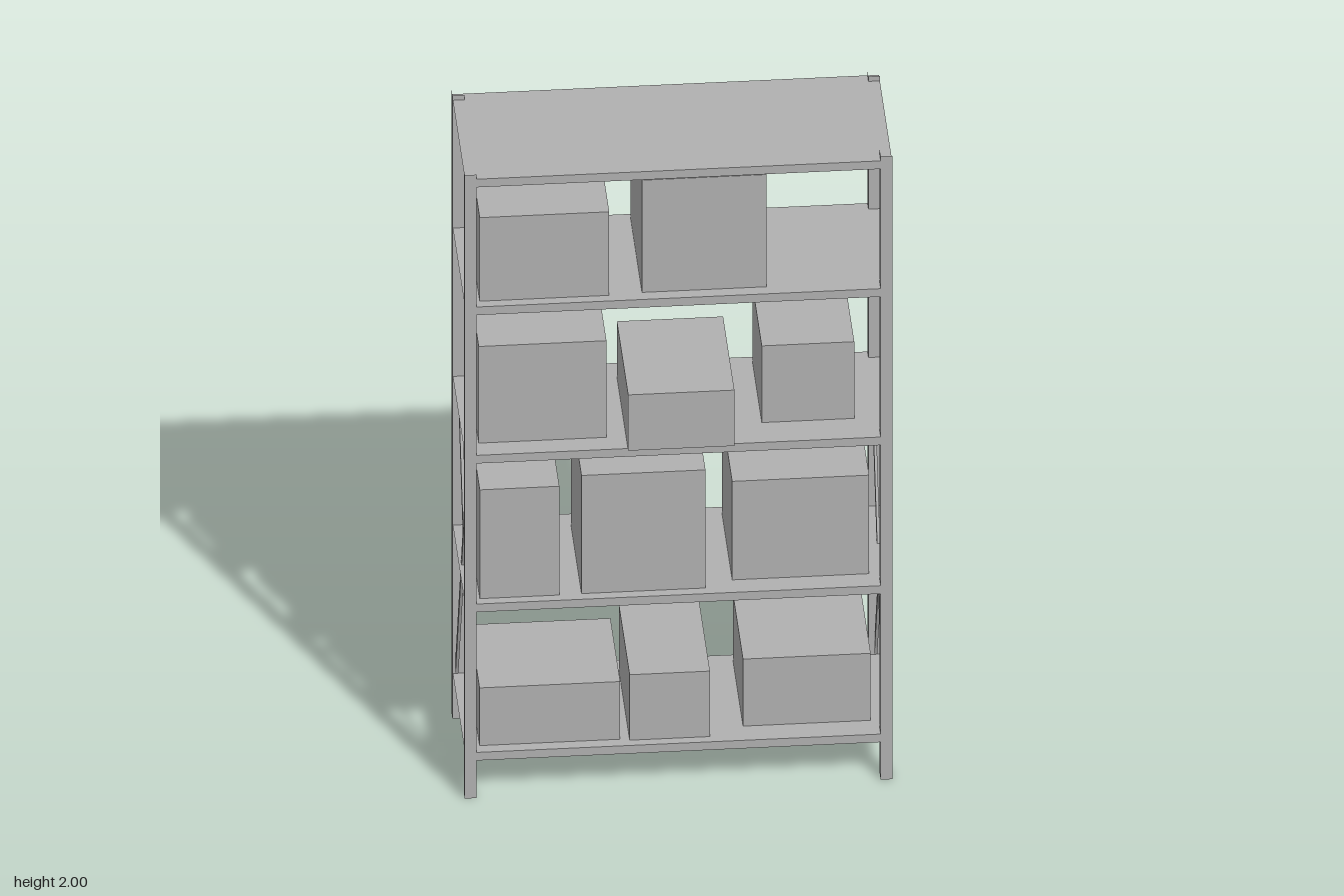
import * as THREE from 'three';

export function createModel() {
  const grey = new THREE.MeshStandardMaterial({ color: 0xb0b0b0 });
  const model = new THREE.Group();
  model.name = 'storageRack';

  // Box given by its limits on each axis
  function block(name, [x0, x1], [y0, y1], [z0, z1], parent = model) {
    const mesh = new THREE.Mesh(new THREE.BoxGeometry(x1 - x0, y1 - y0, z1 - z0), grey);
    mesh.position.set((x0 + x1) / 2, (y0 + y1) / 2, (z0 + z1) / 2);
    mesh.name = name;
    parent.add(mesh);
    return mesh;
  }

  // Drop chosen faces of a box (0-1 ends in x, 2-3 top and bottom, 4-5 front and back)
  function openFaces(mesh, faces) {
    const index = Array.from(mesh.geometry.index.array);
    mesh.geometry.setIndex(index.filter((_, i) => !faces.includes(Math.floor(i / 6))));
    mesh.geometry.clearGroups();
  }

  const back = -0.219, front = 0.21, half = 0.578, post = 0.032;

  // Corner posts: open square tubes
  for (const side of [-1, 1]) {
    const xs = side > 0 ? [half - post, half] : [-half, -half + post];
    openFaces(block('frontPost', xs, [0, 2], [front - post, front]), [2, 3]);
    openFaces(block('backPost', xs, [0, 2], [back, back + post]), [2, 3]);
  }

  // Shelves: folded sheets, open at the ends
  const shelfTops = [0.145, 0.621, 1.098, 1.574, 1.984];
  for (const top of shelfTops) {
    const shelf = block('shelf', [-half + 0.001, half - 0.001], [top - 0.026, top], [back + 0.002, front - 0.002]);
    openFaces(shelf, [0, 1]);
  }

  // Crossed braces on both ends
  const y0 = 0.15, y1 = 1.06, reach = 0.19, middle = (front + back) / 2;
  const length = Math.hypot(y1 - y0, 2 * reach);
  for (const side of [-1, 1]) {
    for (const lean of [-1, 1]) {
      const brace = new THREE.Mesh(new THREE.BoxGeometry(0.008, length, 0.02), grey);
      brace.name = 'crossBrace';
      brace.position.set(side * (0.562 + lean * 0.004), (y0 + y1) / 2, middle);
      brace.rotation.x = lean * Math.atan2(2 * reach, y1 - y0);
      model.add(brace);
    }
  }

  // Stored boxes per shelf: x from, x to, top, z back, z front
  const rows = [
    [[-0.535, -0.155, 0.33, -0.14, 0.175], [-0.13, 0.087, 0.355, -0.17, 0.182], [0.18, 0.525, 0.36, -0.18, 0.138]],
    [[-0.535, -0.32, 0.97, -0.15, 0.182], [-0.26, 0.075, 1.0, -0.157, 0.18], [0.15, 0.52, 0.937, -0.176, 0.146]],
    [[-0.535, -0.19, 1.408, -0.19, 0.148], [-0.137, 0.15, 1.277, -0.147, 0.219], [0.233, 0.483, 1.344, -0.185, 0.11]],
    [[-0.535, -0.185, 1.842, -0.15, 0.18], [-0.096, 0.24, 1.934, -0.19, 0.173]],
  ];
  rows.forEach((row, i) => {
    const group = new THREE.Group();
    group.name = 'storedBoxes';
    model.add(group);
    for (const [xa, xb, top, za, zb] of row) {
      block('storageBox', [xa, xb], [shelfTops[i], top], [za, zb], group);
    }
  });

  return model;
}
